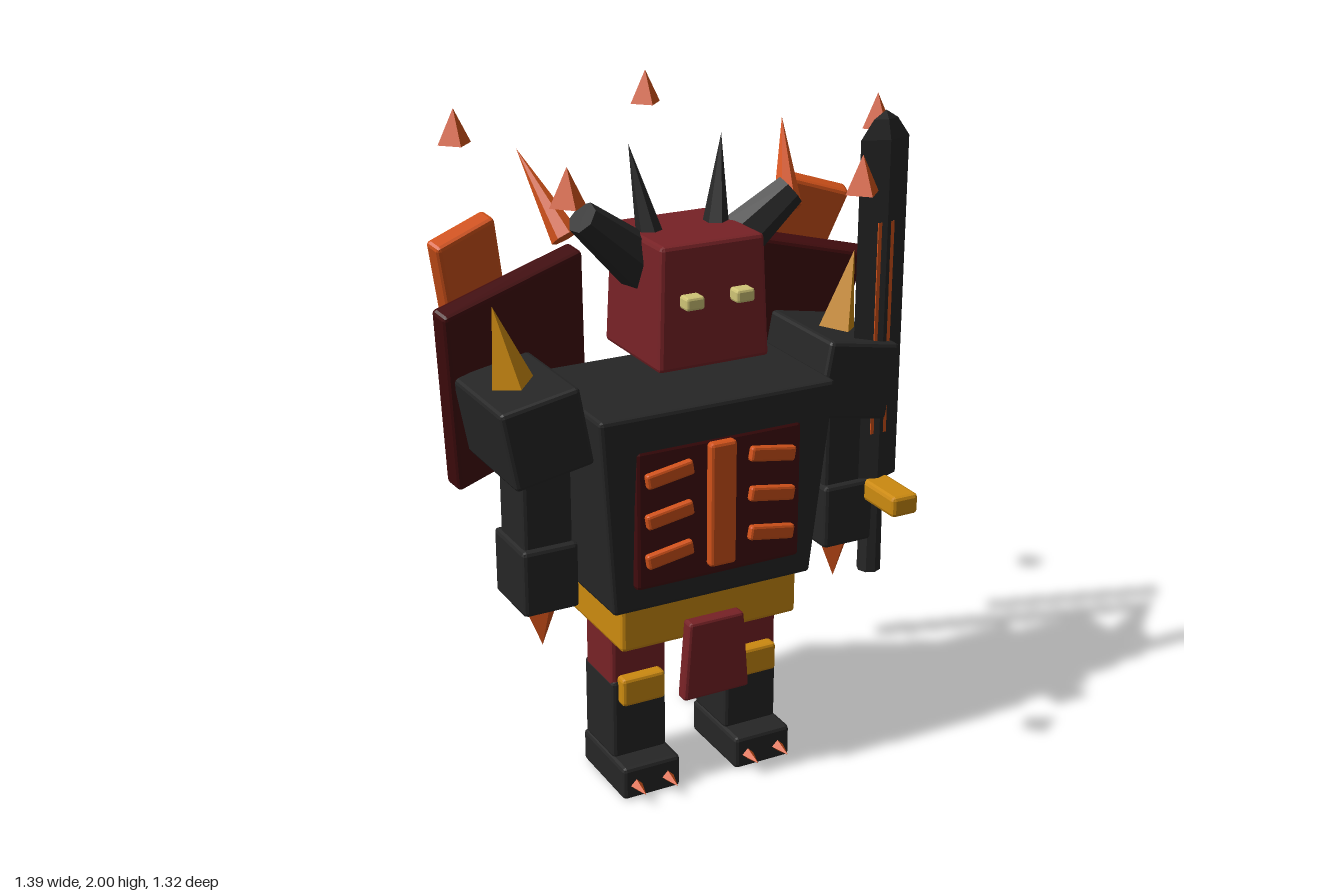
import * as THREE from 'three';
import { RoundedBoxGeometry } from 'three/addons/geometries/RoundedBoxGeometry.js';

const mat = (name, color) => {
  const m = new THREE.MeshStandardMaterial({ color });
  m.name = name;
  return m;
};

export function createModel() {
  const model = new THREE.Group();
  model.name = 'hornedArmouredGolem';
  const black = mat('black armour', 0x262626);
  const red = mat('dark red', 0x772226);
  const maroon = mat('maroon', 0x420c0e);
  const gold = mat('gold', 0xcc8a10);
  const orange = mat('ember orange', 0xd2521a);
  const pale = mat('pale eye', 0xcfc476);

  const add = (name, geo, material, pos = [0, 0, 0], rot = [0, 0, 0]) => {
    let g = geo.index ? geo.toNonIndexed() : geo;
    g.computeVertexNormals(); // faceted look
    const mesh = new THREE.Mesh(g, material);
    mesh.name = name;
    mesh.position.set(...pos);
    mesh.rotation.set(...rot);
    model.add(mesh);
    return mesh;
  };

  // Bevelled box; the bottom can be scaled relative to the top
  const box = (name, material, size, pos, rot, bottomX = 1, bottomZ = 1) => {
    const bevel = Math.min(0.012, Math.min(...size) * 0.2);
    const g = new RoundedBoxGeometry(...size, 1, bevel);
    const p = g.attributes.position;
    for (let i = 0; i < p.count; i++) {
      const t = 0.5 - p.getY(i) / size[1];
      p.setX(i, p.getX(i) * (1 + (bottomX - 1) * t));
      p.setZ(i, p.getZ(i) * (1 + (bottomZ - 1) * t));
    }
    return add(name, g, material, pos, rot);
  };

  // Tapered rod or spike between two points
  const rod = (name, material, a, b, ra, rb, sides) => {
    const from = new THREE.Vector3(...a), to = new THREE.Vector3(...b);
    const dir = to.clone().sub(from);
    const g = rb > 0
      ? new THREE.CylinderGeometry(rb, ra, dir.length(), sides)
      : new THREE.ConeGeometry(ra, dir.length(), sides);
    const mesh = add(name, g, material);
    mesh.position.copy(from).add(to).multiplyScalar(0.5);
    mesh.quaternion.setFromUnitVectors(new THREE.Vector3(0, 1, 0), dir.normalize());
    return mesh;
  };

  // Torso, belt and loincloth
  box('torso', black, [0.75, 0.61, 0.48], [0, 0.94, 0], undefined, 0.86, 0.86);
  box('belt', gold, [0.58, 0.14, 0.37], [0, 0.57, 0]);
  box('loincloth', red, [0.18, 0.25, 0.045], [0, 0.44, 0.205], undefined, 1.22, 1);

  // Chest panel with glowing spine and ribs
  box('chestPanel', maroon, [0.53, 0.425, 0.06], [0, 0.927, 0.207]);
  box('chestSpine', orange, [0.085, 0.38, 0.05], [0, 0.94, 0.237]);

  // Head
  box('head', red, [0.32, 0.355, 0.32], [0, 1.517, 0.03], undefined, 1.09, 1.07);

  for (const s of [1, -1]) {
    const side = s > 0 ? 'left' : 'right';
    const at = (x, y, z) => [s * x, y, z];
    const turn = (x, y, z) => [x, s * y, s * z];

    for (const y of [1.06, 0.937, 0.815])
      box(side + 'Rib', orange, [0.148, 0.045, 0.04], at(0.165, y, 0.236), turn(0, 0, -0.16));

    // Face and horns
    box(side + 'Eye', pale, [0.057, 0.038, 0.05], at(0.078, 1.538, 0.21));
    rod(side + 'CrownSpike', black, at(0.102, 1.67, 0.012), at(0.145, 1.93, -0.035), 0.04, 0, 6);
    rod(side + 'HornBase', black, at(0.13, 1.6, 0.01), at(0.325, 1.765, 0.045), 0.08, 0.048, 7);
    rod(side + 'HornTip', orange, at(0.35, 1.7, -0.01), at(0.42, 1.92, -0.168), 0.042, 0, 7);

    // Arm, shoulder spike and claw
    box(side + 'Shoulder', black, [0.24, 0.235, 0.35], at(0.497, 1.197, 0), turn(0, 0, -0.18));
    rod(side + 'ShoulderSpike', gold, at(0.522, 1.3, 0), at(0.577, 1.54, 0), 0.066, 0, 4);
    box(side + 'Forearm', black, [0.15, 0.3, 0.17], at(0.488, 0.99, 0.05));
    box(side + 'Hand', black, [0.17, 0.2, 0.21], at(0.49, 0.767, 0.05));
    rod(side + 'Claw', orange, at(0.49, 0.68, 0.075), at(0.49, 0.53, 0.075), 0.06, 0, 4);

    // Back plates, each carrying a smaller plate
    box(side + 'BackPlate', maroon, [0.49, 0.63, 0.065], at(0.411, 1.253, -0.26), turn(0.253, -0.273, -0.148));
    box(side + 'BackPlateTop', orange, [0.2, 0.5, 0.06], at(0.52, 1.47, -0.287), turn(0.253, -0.273, -0.235));

    // Leg, knee guard, foot and toe claws
    box(side + 'Thigh', red, [0.18, 0.22, 0.18], at(0.188, 0.44, 0));
    box(side + 'Shin', black, [0.178, 0.26, 0.195], at(0.19, 0.228, -0.002));
    box(side + 'KneeGuard', gold, [0.14, 0.09, 0.05], at(0.19, 0.33, 0.103));
    box(side + 'Foot', black, [0.19, 0.105, 0.28], at(0.19, 0.0525, 0.036));
    for (const x of [0.138, 0.243])
      rod(side + 'ToeClaw', orange, at(x, 0.045, 0.165), at(x, 0.045, 0.24), 0.022, 0, 4);
  }

  // Sword: diamond-section blade with ember inlay, guard and grip
  const sx = 0.587, sz = 0.125;
  const section = [[1.98, 0], [1.955, 0.5], [1.9, 1], [0.86, 1.02], [0.86, 0]];
  const bladeGeo = new THREE.LatheGeometry(
    section.map(([y, r]) => new THREE.Vector2(r, y)).reverse(), 4);
  bladeGeo.scale(0.081, 1, 0.03);
  add('swordBlade', bladeGeo, black, [sx, 0, sz]);
  add('swordInlay', new THREE.BoxGeometry(0.054, 0.65, 0.049), orange, [sx, 1.335, sz]);
  box('swordGuard', gold, [0.09, 0.065, 0.37], [sx, 0.833, sz]);
  rod('swordGrip', black, [sx, 0.555, sz], [sx, 0.82, sz], 0.037, 0.034, 8);

  // Ring of floating shards
  for (let i = 0; i < 5; i++) {
    const a = (i * Math.PI * 2) / 5;
    add('floatingShard', new THREE.ConeGeometry(0.05, 0.1, 4), orange,
      [0.64 * Math.cos(a), 1.95, 0.64 * Math.sin(a)]);
  }

  return model;
}
